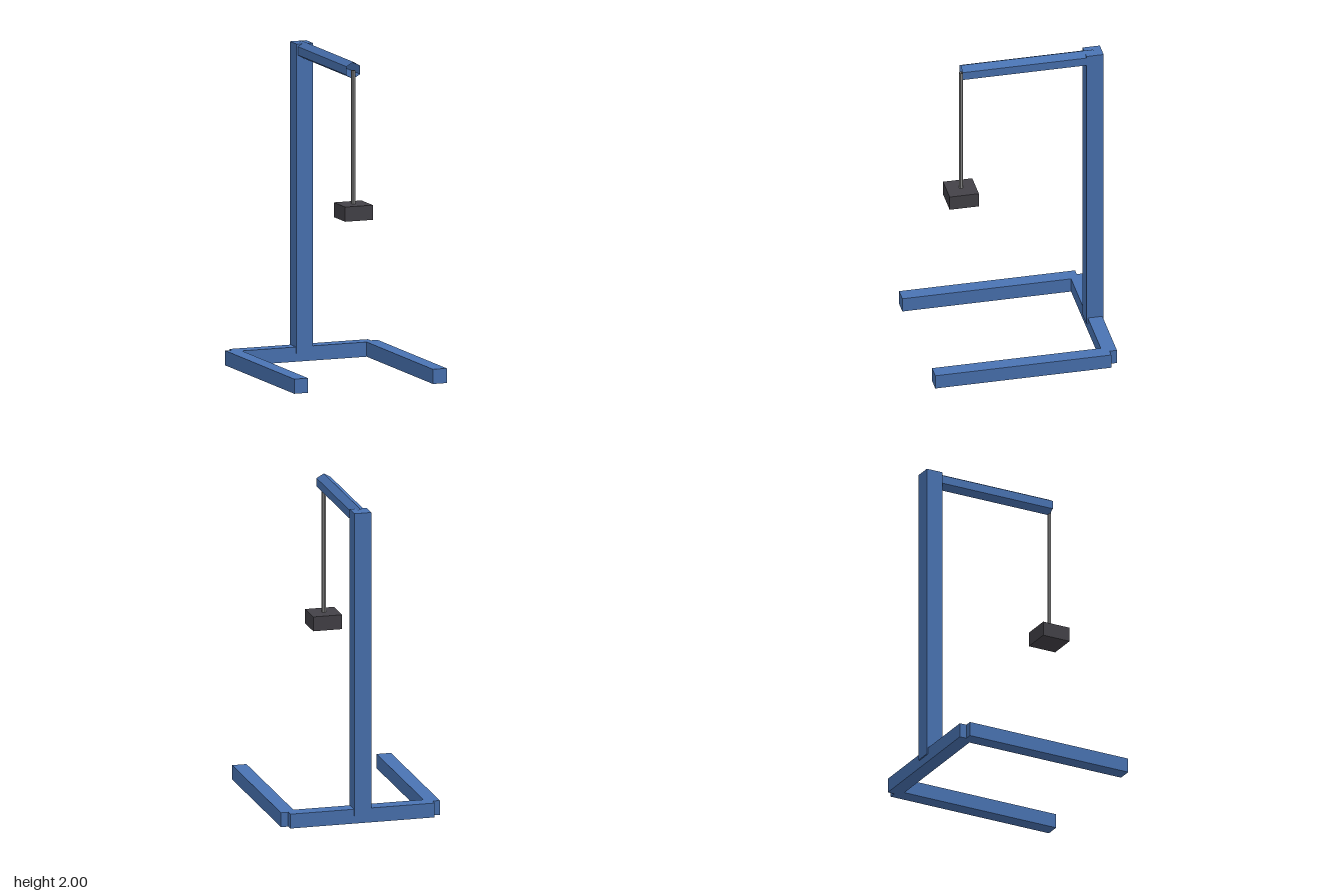
import * as THREE from 'three';

const blue = new THREE.MeshStandardMaterial({ color: 0x4a74b4, side: THREE.DoubleSide, flatShading: true });
blue.name = 'blue frame';
const charcoal = new THREE.MeshStandardMaterial({ color: 0x444248 });
charcoal.name = 'charcoal weight';
const grey = new THREE.MeshStandardMaterial({ color: 0x8a8a8a, side: THREE.DoubleSide, flatShading: true });
grey.name = 'grey cable';

export function createModel() {
  const model = new THREE.Group();
  model.name = 'hoistStand';

  const add = (name, geometry, material, x, y, z) => {
    const mesh = new THREE.Mesh(geometry, material);
    mesh.name = name;
    mesh.position.set(x, y, z);
    model.add(mesh);
    return mesh;
  };

  const bar = 0.092, mastZ = -0.53, hookZ = 0.306, beamY = 1.947;

  // U-shaped base: two legs joined by a rear cross bar
  for (const [name, side] of [['leftLeg', 1], ['rightLeg', -1]]) {
    add(name, new THREE.BoxGeometry(bar, bar, 1.113), blue, side * 0.463, bar / 2, 0.0265);
  }
  add('crossBar', new THREE.BoxGeometry(0.926, bar, bar), blue, 0, bar / 2, mastZ);

  // Upright mast
  add('mast', new THREE.BoxGeometry(0.108, 1.94, 0.108), blue, 0, 1.02, mastZ);

  // Hollow hexagonal boom, open at the ends, one ridge upward
  const boom = new THREE.CylinderGeometry(0.053, 0.053, hookZ - mastZ, 6, 1, true);
  boom.rotateX(Math.PI / 2);
  add('boom', boom, blue, 0, beamY, (hookZ + mastZ) / 2);

  // Cable and hanging weight
  const cableBottom = 1.06;
  add('cable', new THREE.CylinderGeometry(0.0132, 0.0132, beamY - cableBottom, 6, 1, true),
    grey, 0, (beamY + cableBottom) / 2, hookZ);
  add('weight', new THREE.BoxGeometry(0.185, 0.092, 0.185), charcoal, 0, 1.066, hookZ);

  return model;
}
